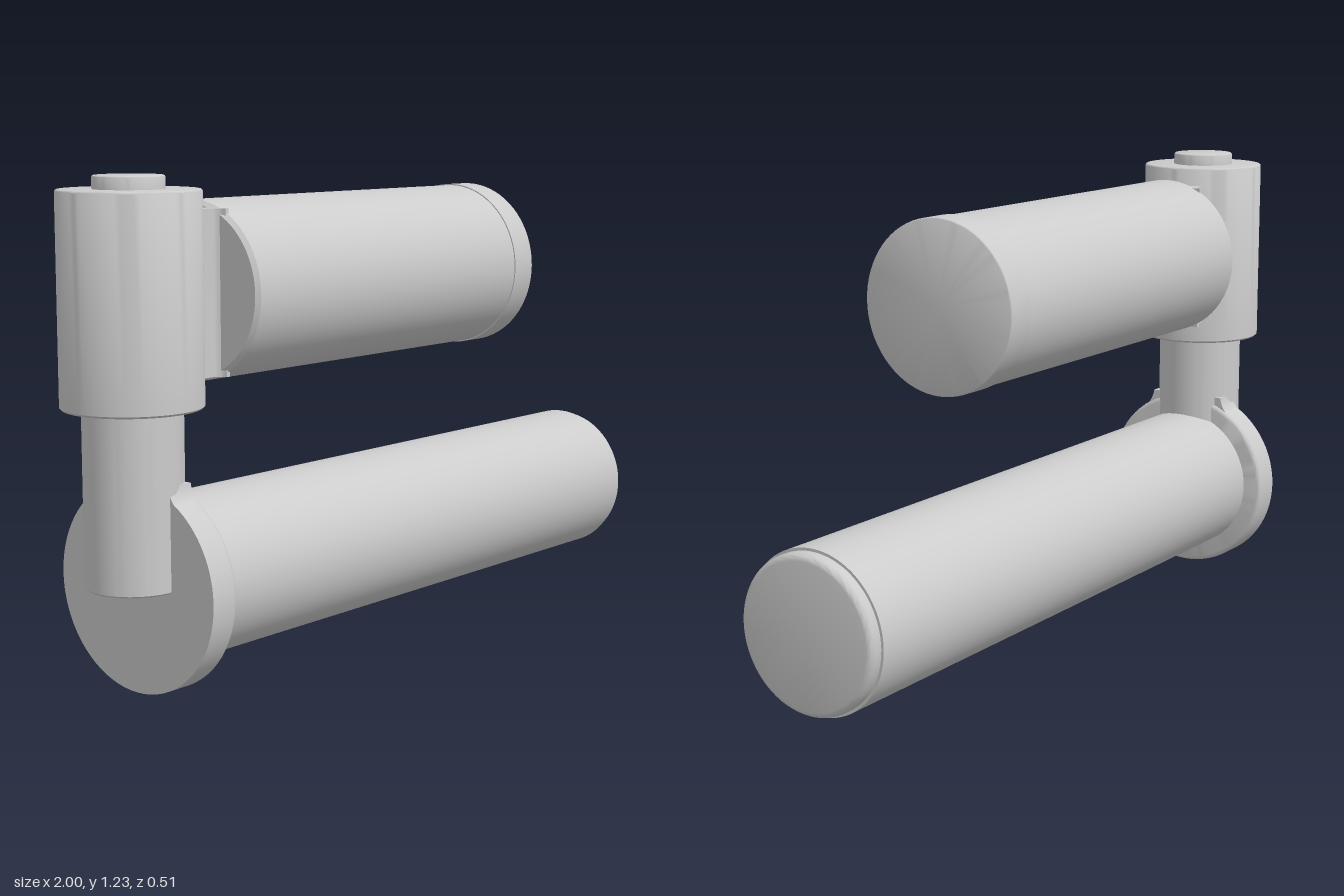
import * as THREE from 'three';
import { toCreasedNormals } from 'three/addons/utils/BufferGeometryUtils.js';

const material = new THREE.MeshStandardMaterial({ color: 0xcccccc });
const POST_X = -0.83;
const LOWER_Y = 0.256;
const UPPER_Y = 0.95;

export function createModel() {
  const model = new THREE.Group();

  const add = (name, geometry, x = 0, y = 0) => {
    const mesh = new THREE.Mesh(toCreasedNormals(geometry, 0.6), material);
    mesh.name = name;
    mesh.position.set(x, y, 0);
    model.add(mesh);
  };

  // Solid of revolution from [radius, height] pairs, closed at both ends
  const turned = (profile) => new THREE.LatheGeometry(
    [[0, profile[0][1]], ...profile, [0, profile.at(-1)[1]]].map(([r, h]) => new THREE.Vector2(r, h)), 72);
  // The same, turned to lie along x
  const lying = (profile) => turned(profile).rotateZ(-Math.PI / 2);

  // Rounded outer edge at the high end of a profile
  const roundEnd = (radius, end, r) => [0, 1, 2, 3, 4].map((i) => {
    const a = (i / 4) * Math.PI / 2;
    return [radius - r + r * Math.cos(a), end - r + r * Math.sin(a)];
  });

  // Upright hinge: barrel, stem and top pin
  add('hingeBarrel', turned([[0.165, 0.69], [0.17, 0.695], ...roundEnd(0.17, 1.2, 0.006)]), POST_X);
  add('hingeStem', turned([[0.116, 0.262], [0.12, 0.266], [0.12, 0.7]]), POST_X);
  add('hingePin', turned([[0.085, 1.19], ...roundEnd(0.085, 1.232, 0.006)]), POST_X);

  // Lower grip with its stepped end cap
  add('lowerGrip', lying([[0.203, -0.76], [0.203, 0.965]]), 0, LOWER_Y + 0.003);
  add('lowerEndCap', lying([[0.196, 0.96], ...roundEnd(0.196, 1, 0.016)]), 0, LOWER_Y + 0.003);

  // Round flange, blended into the stem by small fillets at the top
  add('flange', lying([[0.256, POST_X], ...roundEnd(0.256, -0.748, 0.014)]), 0, LOWER_Y);
  const blend = new THREE.Shape();
  blend.moveTo(-0.16, 0.45);
  blend.quadraticCurveTo(-0.118, 0.477, -0.114, 0.515);
  blend.lineTo(0.114, 0.515);
  blend.quadraticCurveTo(0.118, 0.477, 0.16, 0.45);
  add('flangeFillet', new THREE.ExtrudeGeometry(blend, { depth: 0.074, bevelEnabled: false, curveSegments: 8 })
    .rotateY(Math.PI / 2), POST_X);

  // Upper grip with a slightly raised end band
  add('upperGrip', lying([[0.208, -0.63], [0.218, -0.62], [0.218, 0.41]]), 0, UPPER_Y);
  add('upperEndBand', lying([[0.221, 0.4], ...roundEnd(0.221, 0.482, 0.006)]), 0, UPPER_Y);

  // Web joining barrel and upper grip, flared where it meets the grip
  const web = new THREE.Shape();
  web.moveTo(-0.76, -0.085);
  web.lineTo(-0.655, -0.085);
  web.quadraticCurveTo(-0.628, -0.085, -0.625, -0.11);
  web.lineTo(-0.615, -0.11);
  web.lineTo(-0.615, 0.11);
  web.lineTo(-0.625, 0.11);
  web.quadraticCurveTo(-0.628, 0.085, -0.655, 0.085);
  web.lineTo(-0.76, 0.085);
  add('connectingWeb', new THREE.ExtrudeGeometry(web, { depth: 0.4, bevelEnabled: false, curveSegments: 8 })
    .rotateX(-Math.PI / 2), 0, UPPER_Y - 0.2);

  return model;
}
